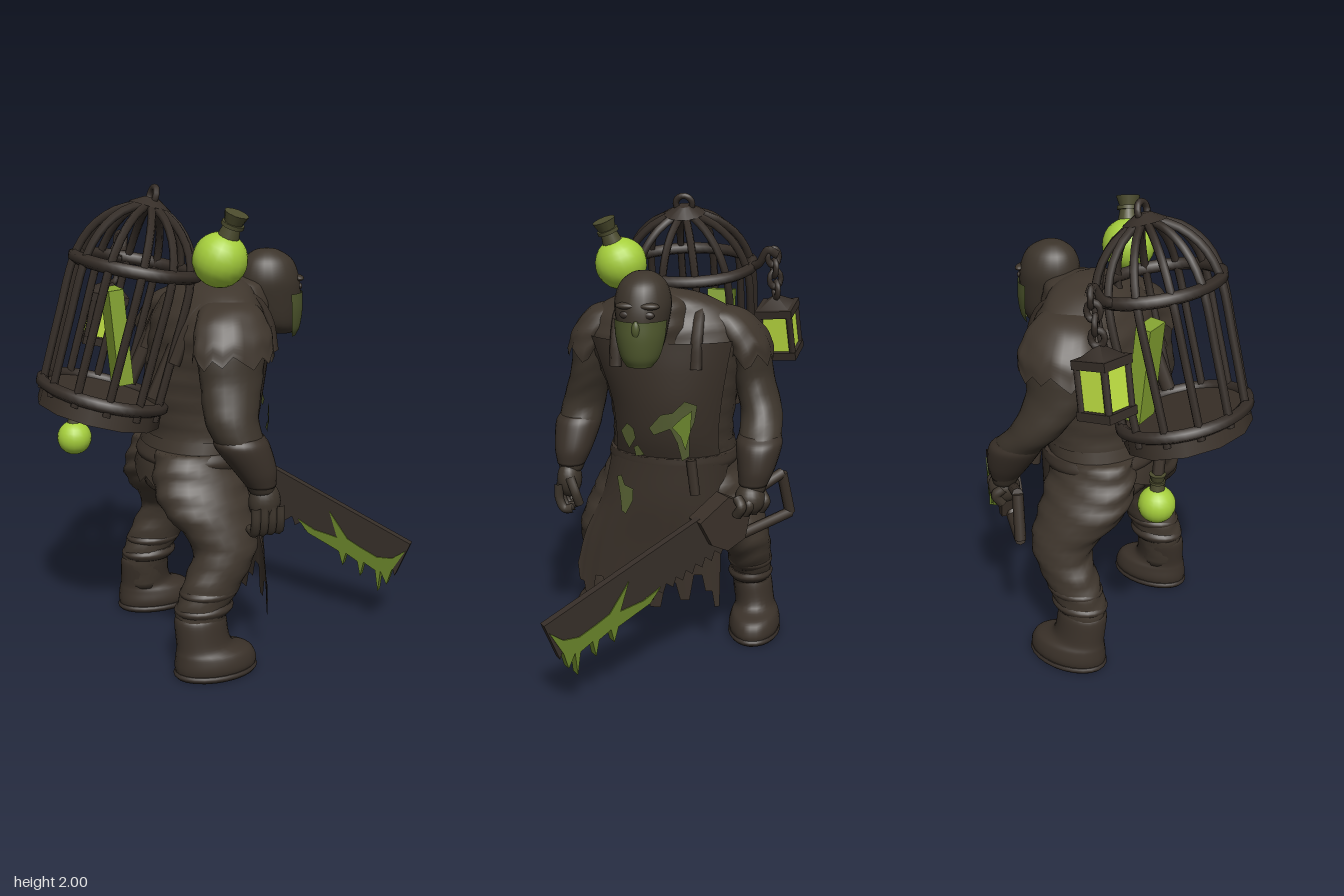
import * as THREE from 'three';
import { mergeVertices } from 'three/addons/utils/BufferGeometryUtils.js';

const V = (x, y, z) => new THREE.Vector3(x, y, z);

export function createModel() {
  const root = new THREE.Group();
  const mat = (name, color, double) => {
    const m = new THREE.MeshStandardMaterial({ color });
    m.name = name;
    if (double) m.side = THREE.DoubleSide;
    return m;
  };
  const cloth = mat('cloth', 0x3f362d, true), skin = mat('skin', 0x3c342b);
  const leather = mat('leather', 0x3a3129, true), iron = mat('iron', 0x362e28);
  const glow = mat('glowing green', 0xa6cf3c), light = mat('lantern light', 0xc4e644);
  const dim = mat('dim green', 0x86a532), goo = mat('slime', 0x688229, true);
  const stained = mat('stained green', 0x4f582d, true), cork = mat('cork', 0x4c4c2e);

  const add = (name, geo, m, parent = root) => {
    const mesh = new THREE.Mesh(geo, m);
    mesh.name = name;
    parent.add(mesh);
    return mesh;
  };
  const group = (name, x, y, z) => {
    const g = new THREE.Group();
    g.name = name;
    g.position.set(x, y, z);
    root.add(g);
    return g;
  };
  const ball = (name, m, p, s, parent) => {
    const b = add(name, new THREE.SphereGeometry(1, 20, 14), m, parent);
    b.position.set(...p);
    b.scale.set(...s);
    return b;
  };
  const rod = (name, m, a, b, r, parent, sides = 6) => {
    const d = b.clone().sub(a);
    const mesh = add(name, new THREE.CylinderGeometry(r, r, d.length(), sides), m, parent);
    mesh.position.copy(a).addScaledVector(d, 0.5);
    mesh.quaternion.setFromUnitVectors(V(0, 1, 0), d.normalize());
    return mesh;
  };
  const tube = (name, m, pts, r, parent, sides = 6) =>
    add(name, new THREE.TubeGeometry(new THREE.CatmullRomCurve3(pts), 20, r, sides), m, parent);

  // Skin of elliptical rings [y, x, z, rx, rz], listed from bottom to top
  const loft = (name, m, rings, { sides = 24, a0 = 0, a1 = Math.PI * 2, wrinkle = 0, jag = 0, step = 1 } = {}) => {
    const full = a1 - a0 > 6.28, rows = rings.length * 5;
    const centre = new THREE.CatmullRomCurve3(rings.map(r => V(r[1], r[0], r[2])), false, 'catmullrom');
    const size = new THREE.CatmullRomCurve3(rings.map(r => V(r[3], 0, r[4])), false, 'catmullrom');
    const pos = [], idx = [], S = sides + 1;
    for (let i = 0; i <= rows; i++) {
      const t = i / rows, c = centre.getPoint(t), s = size.getPoint(t);
      for (let j = 0; j <= sides; j++) {
        const k = full ? j % sides : j, a = a0 + (a1 - a0) * k / sides;
        const w = 1 + wrinkle * Math.sin(c.y * 70 + 2.5 * Math.sin(a * 2));
        const drop = jag * ((Math.floor(k / step) * 7) % 5 / 2 - 1) * (1 - t) ** 3;
        pos.push(c.x + s.x * w * Math.cos(a), c.y + drop, c.z + s.z * w * Math.sin(a));
        if (i < rows && j < sides) {
          const p = i * S + j;
          idx.push(p, p + S, p + 1, p + 1, p + S, p + S + 1);
        }
      }
    }
    if (full && !jag) {
      const n = pos.length / 3, b = centre.getPoint(0), e = centre.getPoint(1);
      pos.push(b.x, b.y, b.z, e.x, e.y, e.z);
      for (let j = 0; j < sides; j++) idx.push(n, j, j + 1, n + 1, rows * S + j + 1, rows * S + j);
    }
    let g = new THREE.BufferGeometry();
    g.setAttribute('position', new THREE.Float32BufferAttribute(pos, 3));
    g.setIndex(idx);
    g = mergeVertices(g, 1e-5);
    g.computeVertexNormals();
    return add(name, g, m);
  };

  // Hunched torso, bib and ragged apron
  const torso = [[.72, -.15, 0, .18, .26], [.86, -.13, 0, .21, .275], [1, -.1, 0, .23, .265], [1.15, -.09, 0, .245, .28],
    [1.3, -.075, .01, .235, .32], [1.43, -.065, .02, .22, .36], [1.53, -.055, .025, .175, .3], [1.6, -.03, .03, .12, .18], [1.63, -.01, .03, .04, .05]];
  loft('torso', cloth, torso, { sides: 32, wrinkle: .012 });
  loft('apronBib', leather, torso.slice(1, 6).map(r => [r[0], r[1], r[2], r[3] + .018, r[4] + .01]), { a0: -.95, a1: .95 });
  loft('apronSkirt', leather, [[.29, 0, .09, .1, .35], [.5, -.02, .07, .13, .33], [.7, -.06, .03, .19, .29], [.89, -.11, 0, .245, .28]],
    { a0: -1.2, a1: 1.2, jag: .08, sides: 36, step: 3 });
  loft('tunicHem', cloth, [[.78, -.15, 0, .225, .3], [.86, -.14, 0, .225, .285], [.97, -.11, 0, .225, .27]], { jag: .03, sides: 30 });
  loft('belt', leather, [[.85, -.12, 0, .24, .28], [.88, -.12, 0, .25, .29], [.92, -.11, 0, .24, .28]], { sides: 32 });
  rod('beltTail', leather, V(.13, .92, -.12), V(.14, .77, -.14), .022);
  for (const z of [.2, -.14])
    tube('shoulderStrap', leather, [V(.15, 1.32, z), V(.125, 1.45, z), V(.06, 1.54, z), V(-.06, 1.57, z), V(-.2, 1.49, z), V(-.29, 1.3, z)], .026);
  loft('collar', cloth, [[1.38, .06, .05, .12, .14], [1.5, .06, .05, .13, .15], [1.59, .05, .05, .11, .13], [1.625, .03, .05, .03, .04]], { wrinkle: .02 });

  // Head, face mask and eyes
  loft('head', skin, [[1.37, .25, .07, .05, .05], [1.42, .22, .07, .1, .085], [1.53, .2, .07, .132, .108],
    [1.61, .19, .07, .132, .116], [1.68, .185, .07, .108, .095], [1.72, .18, .07, .055, .05], [1.73, .18, .07, .01, .01]]);
  loft('faceMask', stained, [[1.355, .265, .07, .05, .055], [1.395, .238, .07, .095, .085], [1.47, .22, .07, .122, .106], [1.545, .21, .07, .129, .113]],
    { a0: -1.3, a1: 1.3 });
  for (const s of [-1, 1]) {
    ball('eye', iron, [.308, 1.57, .07 + s * .045], [.014, .016, .026]);
    ball('brow', skin, [.3, 1.605, .07 + s * .045], [.026, .015, .045]);
  }
  ball('nose', stained, [.333, 1.515, .07], [.016, .035, .018]);

  // Legs and boots
  for (const s of [-1, 1]) {
    loft('leg', cloth, [[.12, -.24, s * .355, .09, .08], [.27, -.235, s * .345, .11, .09], [.4, -.175, s * .34, .13, .1],
      [.54, -.115, s * .315, .14, .115], [.7, -.165, s * .23, .195, .145], [.82, -.17, s * .17, .2, .14], [.92, -.16, s * .14, .18, .13]], { wrinkle: .03 });
    loft('boot', leather, [[.01, -.18, s * .37, .175, .105], [.05, -.18, s * .37, .18, .118], [.1, -.19, s * .37, .165, .108],
      [.14, -.23, s * .365, .12, .09], [.24, -.24, s * .35, .112, .09], [.27, -.235, s * .345, .1, .08]]);
    loft('bootSole', iron, [[0, -.18, s * .37, .175, .11], [.015, -.18, s * .37, .185, .12], [.03, -.18, s * .37, .178, .115]]);
    for (const y of [.29, .36])
      loft('legWrap', leather, [[y - .025, -.24 + (y - .25) * .35, s * .342, .112, .09], [y, -.235 + (y - .25) * .35, s * .342, .127, .102], [y + .025, -.225 + (y - .25) * .35, s * .342, .112, .09]]);
    // Torn shoulder cape
    loft('shoulderCape', cloth, [[1.34, -.1, s * .35 + .015, .17, .1], [1.42, -.09, s * .325 + .015, .165, .105],
      [1.5, -.08, s * .27 + .02, .14, .105], [1.545, -.065, s * .22 + .02, .09, .09], [1.56, -.06, s * .19 + .02, .02, .02]], { jag: .03, wrinkle: .015 });
  }

  // Arms
  const upper = s => [[1.25, -.11, s * .36 + .01, .13, .09], [1.4, -.1, s * .325 + .01, .145, .1], [1.5, -.08, s * .26, .11, .09]];
  loft('leftArm', skin, [[.8, -.01, .45, .05, .05], [.88, -.03, .445, .075, .075], [.98, -.08, .43, .1, .095], [1.1, -.125, .41, .11, .095], ...upper(1)], { wrinkle: .012 });
  loft('leftBracer', leather, [[.83, -.015, .45, .062, .062], [.9, -.04, .443, .09, .085], [1, -.09, .432, .113, .102], [1.04, -.1, .425, .1, .092]]);
  loft('rightArm', skin, [[.8, .13, -.385, .05, .05], [.9, .1, -.395, .08, .072], [1, .05, -.4, .105, .09], [1.11, -.05, -.395, .11, .09], ...upper(-1)], { wrinkle: .012 });
  loft('rightBracer', leather, [[.83, .125, -.385, .06, .06], [.9, .1, -.395, .09, .08], [.99, .06, -.4, .113, .098], [1.03, .03, -.4, .1, .09]]);

  // Hands
  ball('leftPalm', skin, [.0, .76, .455], [.068, .085, .055]);
  ball('rightFist', skin, [.14, .77, -.375], [.07, .07, .065]);
  for (let i = 0; i < 4; i++) {
    const x = -.055 + i * .036, k = .09 + i * .03;
    tube('leftFinger', skin, [V(x, .75, .49), V(x, .68, .49), V(x + .005, .635, .465), V(x + .005, .64, .425)], .021, root, 8);
    tube('rightFinger', skin, [V(k + .02, .79, -.42 + i * .03), V(k + .045, .76, -.44 + i * .03), V(k + .03, .715, -.42 + i * .03)], .022, root, 8);
  }
  tube('leftThumb', skin, [V(.05, .78, .44), V(.065, .71, .41), V(.05, .66, .4)], .022, root, 8);

  // Saw: plane runs from the grip behind to the blade tip in front
  const saw = group('saw', -.05, 0, -.53);
  saw.rotation.y = -.821;
  const plate = (name, pts, m, depth) => {
    const g = new THREE.ExtrudeGeometry(new THREE.Shape(pts.map(p => new THREE.Vector2(...p))), { depth, bevelEnabled: false });
    g.translate(0, 0, -depth / 2);
    return add(name, g, m, saw);
  };
  const edge = [];
  for (let i = 0; i <= 16; i++) {
    const t = i / 16, y = .58 - .28 * t + .03 * t * (t - 1);
    edge.push([.36 + .77 * t, y], [.375 + .77 * t, y - .042]);
  }
  plate('sawBlade', [[.34, .78], ...edge, [1.21, .42]], iron, .034);
  plate('bladeSlime', [[1.19, .385], [1.13, .34], [1.06, .335], [.98, .37], [.92, .4], [.83, .52], [.87, .4], [.76, .42], [.68, .46], [.73, .4],
    [.8, .37], [.88, .335], [.9, .27], [.915, .33], [.97, .3], [.985, .23], [1.0, .3], [1.055, .27], [1.07, .17], [1.08, .27], [1.11, .21], [1.13, .28]], goo, .044);
  plate('sawHeel', [[.24, .74], [.27, .6], [.36, .56], [.44, .6], [.5, .71], [.36, .8]], leather, .09);
  const grip = [V(.05, .84, 0), V(.0, .65, 0), V(.26, .6, 0), V(.36, .72, 0)];
  grip.forEach((p, i) => rod('sawGrip', leather, p, grip[(i + 1) % 4], .024, saw, 8));

  // Slime splashes laid on the apron
  const splash = (m, pts, xAt) => {
    const g = new THREE.ShapeGeometry(new THREE.Shape(pts.map(p => new THREE.Vector2(...p))));
    const p = g.attributes.position;
    for (let i = 0; i < p.count; i++) p.setXYZ(i, xAt(p.getX(i), p.getY(i)), p.getY(i), p.getX(i));
    g.computeVertexNormals();
    add('slimeSplash', g, m);
  };
  const bibX = z => -.06 + .25 * Math.sqrt(1 - (z / .32) ** 2);
  splash(stained, [[.0, 1.13], [-.05, 1.14], [-.1, 1.19], [-.15, 1.17], [-.14, 1.1], [-.12, 1.05], [-.12, .95], [-.09, .93], [-.07, 1.01], [-.04, 1.07], [.03, 1.04], [.05, 1.07]], bibX);
  splash(goo, [[-.05, 1.08], [-.09, 1.12], [-.13, 1.15], [-.125, 1.06], [-.105, .98], [-.085, 1.04]], z => bibX(z) + .008);
  splash(stained, [[.18, 1.04], [.15, 1.08], [.12, 1.06], [.11, 1.02], [.14, .97], [.16, 1]], bibX);
  splash(stained, [[.12, .98], [.1, .99], [.07, .95], [.11, .94]], bibX);
  splash(stained, [[.21, .82], [.19, .83], [.17, .79], [.13, .78], [.13, .73], [.16, .67], [.18, .68], [.19, .74]],
    (z, y) => -.04 + (y - .7) * -.25 + .215 * Math.sqrt(1 - ((z - .03) / .31) ** 2));

  // Cage carried on the back, leaning forward
  const cage = group('cage', -.535, 1.115, -.025);
  cage.rotation.set(.02, 0, -.28);
  const deck = add('cageBase', new THREE.CylinderGeometry(1, 1.02, .09, 12), leather, cage);
  deck.scale.set(.25, 1, .295);
  deck.rotation.z = .04;
  const hoop = (name, y, r, tr, tilt) => {
    const pts = [];
    for (let i = 0; i < 24; i++) pts.push(V(.25 * r * Math.cos(i * Math.PI / 12), 0, .295 * r * Math.sin(i * Math.PI / 12)));
    const h = add(name, new THREE.TubeGeometry(new THREE.CatmullRomCurve3(pts, true), 48, tr, 6, true), iron, cage);
    h.position.y = y;
    h.rotation.z = tilt;
  };
  hoop('cageMiddleHoop', .585, .98, .027, .1);
  hoop('cageBottomHoop', .045, 1, .027, .04);
  for (let i = 0; i < 12; i++) {
    const a = (i + .5) * Math.PI / 6;
    const bar = [[0, .98], [.3, .99], [.58, .97], [.7, .8], [.785, .5], [.825, .2]];
    tube('cageBar', iron, bar.map(([y, r]) => V(.25 * r * Math.cos(a), y, .295 * r * Math.sin(a))), .018, cage, 5);
  }
  add('cageCap', new THREE.CylinderGeometry(.03, .09, .035, 14), iron, cage).position.y = .847;
  add('cageLoop', new THREE.TorusGeometry(.036, .014, 8, 18).rotateY(Math.PI / 2), iron, cage).position.y = .872;
  const slab = add('glowingSlab', new THREE.BoxGeometry(.065, .41, .12), dim);
  slab.position.set(-.41, 1.36, -.16);
  slab.rotation.z = .09;
  for (const z of [.14, -.16]) rod('cageBrace', leather, V(-.36, 1.15, z), V(-.22, 1.45, z), .03);

  // Lantern hung on a chain
  const lantern = group('lantern', -.385, 1.4, -.43);
  lantern.rotation.set(.08, -.15, -.2);
  add('lanternGlass', new THREE.BoxGeometry(.135, .17, .135), light, lantern);
  for (const y of [-.105, .095]) add('lanternPlate', new THREE.BoxGeometry(.165, .035, .165), iron, lantern).position.y = y;
  for (const x of [-1, 1]) for (const z of [-1, 1])
    rod('lanternPost', iron, V(x * .067, -.1, z * .067), V(x * .067, .1, z * .067), .015, lantern);
  add('lanternRoof', new THREE.ConeGeometry(.105, .06, 4).rotateY(Math.PI / 4), iron, lantern).position.y = .135;
  for (let i = 0; i < 4; i++) {
    const link = add('chainLink', new THREE.TorusGeometry(.026, .013, 6, 12), iron);
    link.position.set(-.345 + i * .012, 1.58 + i * .05, -.415 + i * .004);
    link.scale.y = 1.3;
    link.rotation.y = i * Math.PI / 2 + .4;
  }
  tube('lanternHook', iron, [V(-.36, 1.67, -.28), V(-.32, 1.7, -.34), V(-.3, 1.76, -.38), V(-.31, 1.74, -.42)], .02);

  // Flasks: bulb, neck and cork
  const flask = (name, x, y, z, r, tx, tz) => {
    const g = group(name, x, y, z);
    g.rotation.set(tx, 0, tz);
    ball('bulb', glow, [0, 0, 0], [r, r, r], g);
    const part = (n, a, b, h, at) => { add(n, new THREE.CylinderGeometry(r * a, r * b, r * h, 12), cork, g).position.y = r * at; };
    part('neck', .3, .4, .5, 1.12);
    part('lip', .42, .42, .14, 1.36);
    part('cork', .45, .32, .4, 1.6);
  };
  flask('shoulderFlask', -.1, 1.715, .23, .112, .33, -.22);
  flask('hangingFlask', -.567, .885, -.32, .076, 0, 0);
  rod('flaskCord', leather, V(-.567, 1, -.32), V(-.55, 1.12, -.27), .024);

  return root;
}
